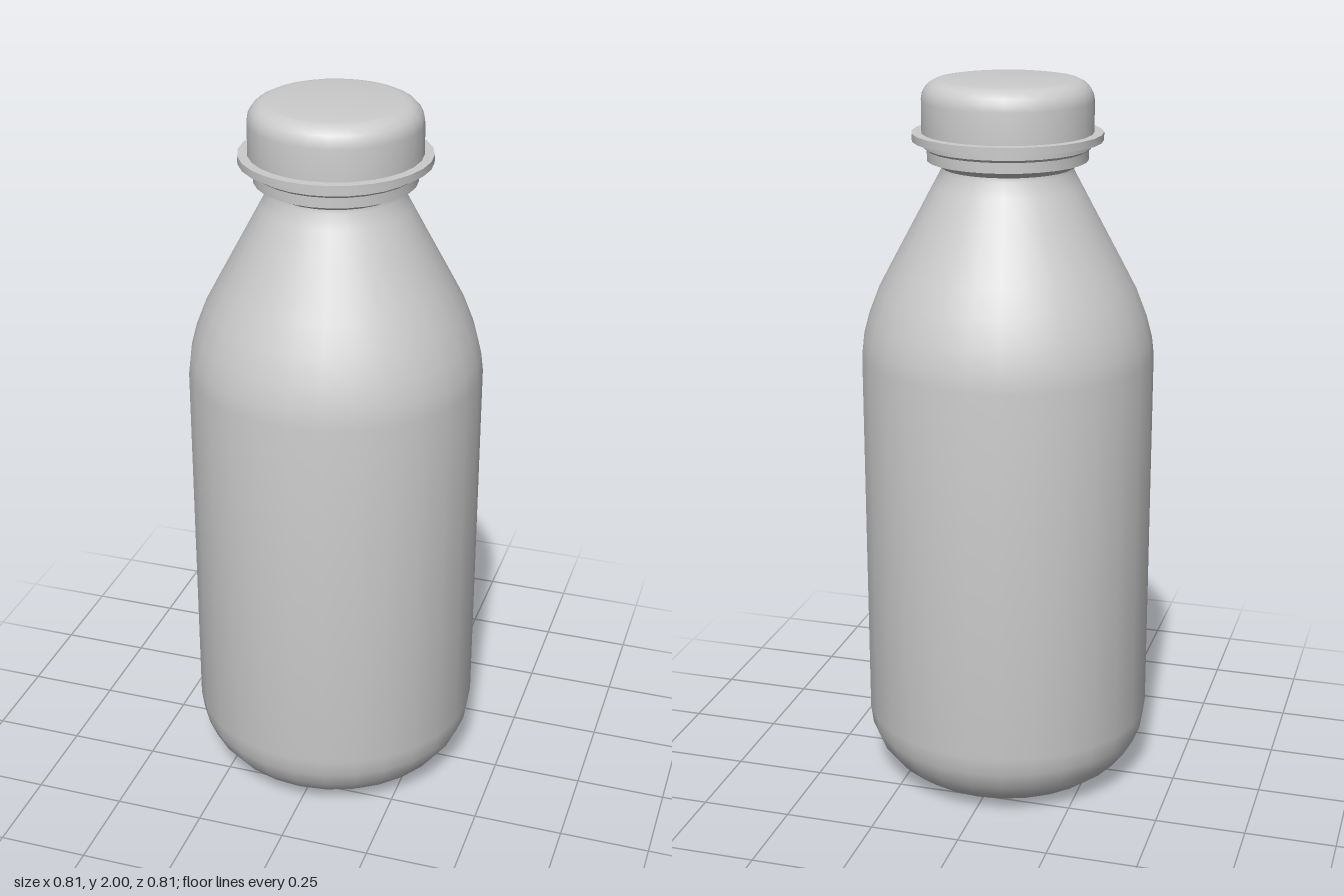
import * as THREE from 'three';
import { toCreasedNormals } from 'three/addons/utils/BufferGeometryUtils.js';

const SIDES = 28;
const material = new THREE.MeshStandardMaterial({ color: 0xcccccc });

// Turn a profile of [radius, height] pairs, listed bottom to top
function turned(name, profile) {
  const points = profile.map(([r, y]) => new THREE.Vector2(r, y));
  const geometry = toCreasedNormals(new THREE.LatheGeometry(points, SIDES), 0.65);
  const mesh = new THREE.Mesh(geometry, material);
  mesh.name = name;
  return mesh;
}

// Quarter-ellipse corner between two angles (degrees), centred on [cr, cy]
function corner(cr, cy, rx, ry, from, to, steps) {
  return Array.from({ length: steps + 1 }, (_, i) => {
    const a = THREE.MathUtils.degToRad(from + ((to - from) * i) / steps);
    return [cr + rx * Math.cos(a), cy + ry * Math.sin(a)];
  });
}

export function createModel() {
  const bottle = new THREE.Group();
  bottle.name = 'bottle';

  // Body: rounded base, straight wall, tapering shoulder, flared lip
  bottle.add(turned('body', [
    [0, 0],
    ...corner(0.203, 0.2, 0.2, 0.2, -90, 0, 6),
    [0.403, 1.25], [0.397, 1.3], [0.381, 1.36], [0.352, 1.435],
    [0.315, 1.505], [0.24, 1.645], [0.2, 1.72], [0.18, 1.757],
    [0.178, 1.768], [0.19, 1.777], [0.217, 1.788],
  ]));

  // Collar below the cap
  bottle.add(turned('collar', [
    [0.17, 1.787], [0.217, 1.787], [0.217, 1.815],
    [0.226, 1.822], [0.226, 1.842],
  ]));

  // Flange around the foot of the cap
  bottle.add(turned('capFlange', [
    [0.2, 1.84], [0.257, 1.84], [0.257, 1.861], [0.22, 1.861],
  ]));

  // Cap with a rounded top edge
  bottle.add(turned('cap', [
    [0.231, 1.855],
    ...corner(0.176, 1.945, 0.055, 0.055, 0, 90, 5),
    [0, 2],
  ]));

  return bottle;
}
